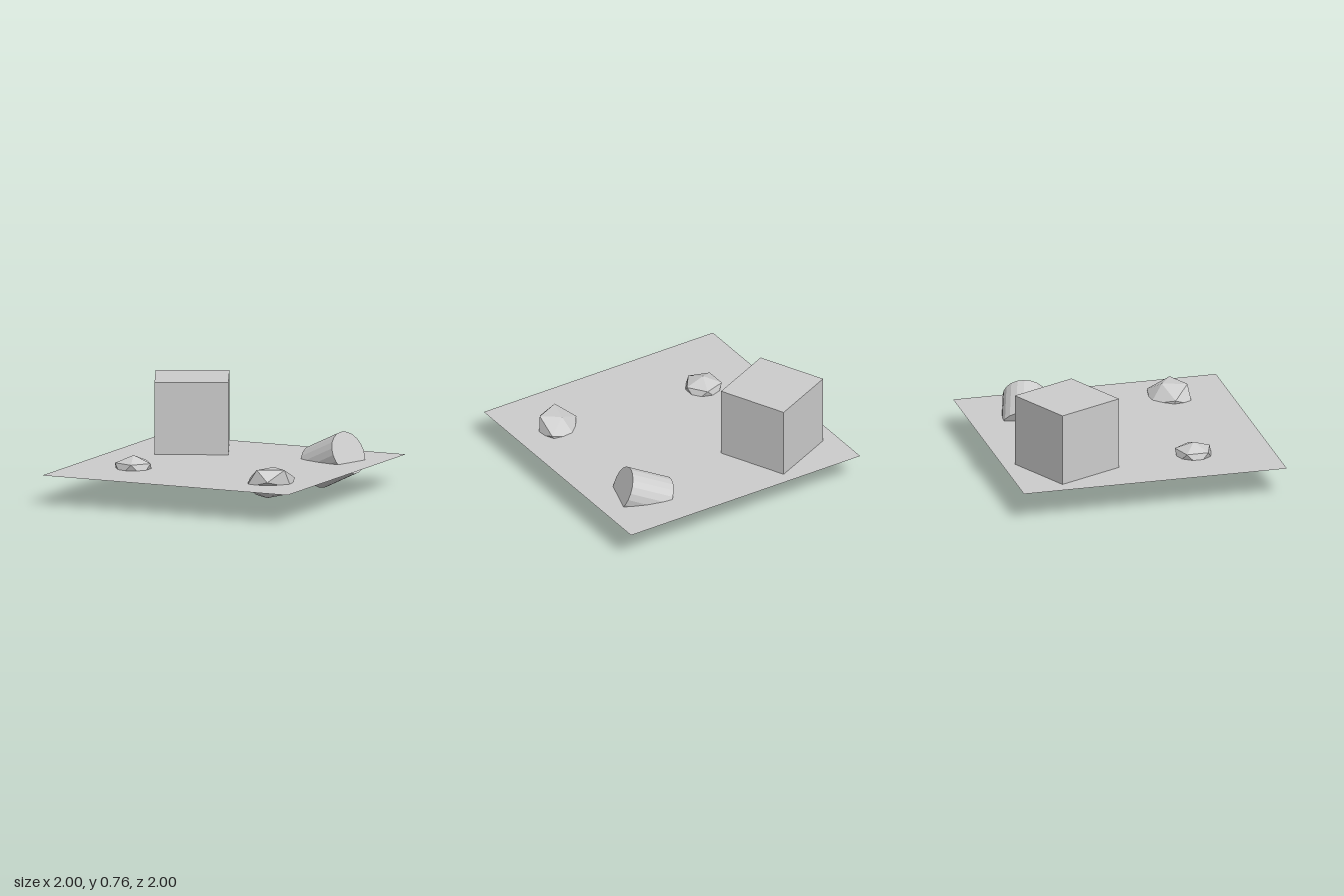
import * as THREE from 'three';

const PHI = (1 + Math.sqrt(5)) / 2;
const v = (x, y, z) => new THREE.Vector3(x, y, z);

// Squashed icosahedron: one face is stretched onto corners a, b, c (relative to the centre)
function rockGeometry(a, b, c) {
  const r = Math.hypot(1, PHI);
  const from = new THREE.Matrix4().makeBasis(
    v(-1, PHI, 0).divideScalar(r), v(0, 1, PHI).divideScalar(r), v(1, PHI, 0).divideScalar(r));
  const to = new THREE.Matrix4().makeBasis(a, b, c);
  const geo = new THREE.IcosahedronGeometry(1, 0);
  geo.applyMatrix4(to.multiply(from.invert()));
  geo.computeVertexNormals();
  return geo;
}

export function createModel() {
  const group = new THREE.Group();
  const grey = new THREE.MeshStandardMaterial({ color: 0xcccccc, side: THREE.DoubleSide });
  grey.name = 'light grey';

  const add = (name, geometry, x, y, z) => {
    const mesh = new THREE.Mesh(geometry, grey);
    mesh.name = name;
    mesh.position.set(x, y, z);
    group.add(mesh);
    return mesh;
  };

  // Flat sheet of ground
  add('groundSheet', new THREE.PlaneGeometry(2, 2).rotateX(-Math.PI / 2), 0, 0.22, 0);

  // Cube turned on the sheet, its base just below it
  add('cube', new THREE.BoxGeometry(0.543, 0.546, 0.543), -0.524, 0.486, -0.545)
    .rotation.y = THREE.MathUtils.degToRad(25);

  // Faceted cylinder tipped over and half sunk through the sheet
  const drum = new THREE.CylinderGeometry(0.164, 0.164, 0.34, 20).toNonIndexed();
  drum.computeVertexNormals();
  add('tiltedCylinder', drum, 0.617, 0.219, -0.562)
    .quaternion.setFromUnitVectors(v(0, 1, 0), v(0.872, 0.41, 0.27).normalize());

  // Upright small rock with a point on top
  add('smallRock', rockGeometry(
    v(0, 0.094, 0), v(0.139, 0.042, 0), v(0.043, 0.042, -0.132)), -0.537, 0.222, 0.416);

  // Larger rock lying on a face
  add('largeRock', rockGeometry(
    v(0.132, 0.107, 0.037), v(0, 0.107, -0.058), v(-0.053, 0.107, 0.123)), 0.645, 0.22, 0.55);

  return group;
}
